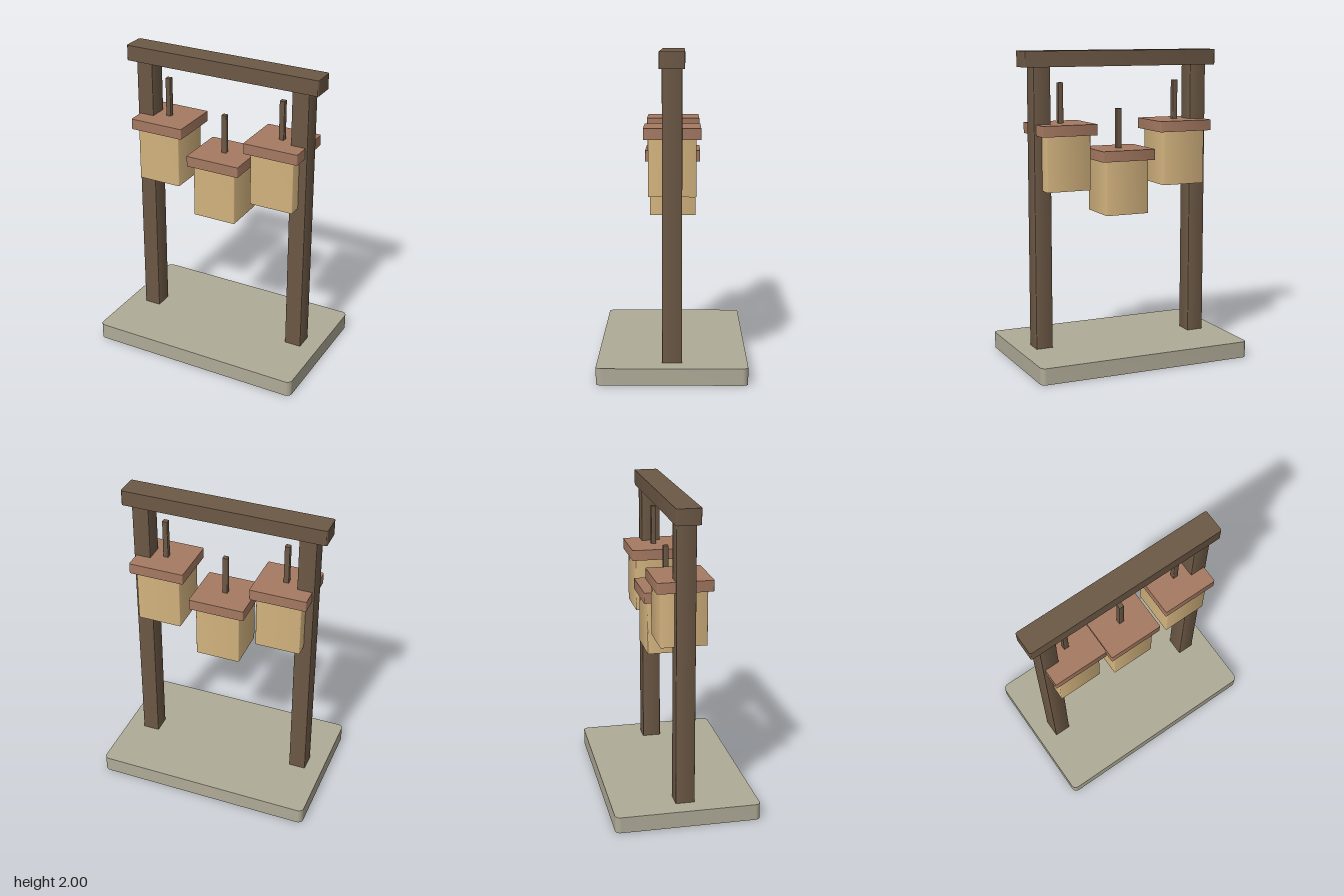
import * as THREE from 'three';
import { toCreasedNormals } from 'three/addons/utils/BufferGeometryUtils.js';

const material = (color) => new THREE.MeshStandardMaterial({ color });

// Upright block with rounded vertical edges, standing on its own y = 0
function slab(width, height, depth, radius) {
  const x = width / 2, y = depth / 2, r = radius;
  const shape = new THREE.Shape();
  shape.absarc(x - r, y - r, r, 0, Math.PI / 2);
  shape.absarc(-x + r, y - r, r, Math.PI / 2, Math.PI);
  shape.absarc(-x + r, -y + r, r, Math.PI, Math.PI * 1.5);
  shape.absarc(x - r, -y + r, r, Math.PI * 1.5, Math.PI * 2);
  shape.closePath();
  const geometry = new THREE.ExtrudeGeometry(shape, { depth: height, bevelEnabled: false, curveSegments: 6 });
  geometry.rotateX(-Math.PI / 2);
  return toCreasedNormals(geometry, Math.PI / 5);
}

export function createModel() {
  const model = new THREE.Group();
  model.name = 'hangingLanternStand';
  const wood = material(0x6d5946);
  const stone = material(0xb0ab98);
  const paper = material(0xd4b47f);
  const clay = material(0xa67a62);

  const add = (parent, name, geometry, mat, x, y, z = 0) => {
    const mesh = new THREE.Mesh(geometry, mat);
    mesh.name = name;
    mesh.position.set(x, y, z);
    parent.add(mesh);
  };

  // Stand: base plate, two posts and the crossbeam
  add(model, 'base', slab(1.436, 0.105, 0.926, 0.035), stone, 0, 0);
  for (const side of [-1, 1]) {
    add(model, side > 0 ? 'leftPost' : 'rightPost', slab(0.11, 1.8, 0.122, 0.003), wood, side * 0.546, 0.102);
  }
  add(model, 'crossbeam', slab(1.332, 0.1, 0.155, 0.012), wood, 0, 1.9);

  // Lanterns: body, overhanging cap and hanging rod; the middle one hangs lower
  const bodyGeometry = slab(0.293, 0.35, 0.293, 0.006);
  const capGeometry = slab(0.367, 0.069, 0.349, 0.008);
  const rodGeometry = slab(0.033, 0.257, 0.033, 0.002);
  const lanterns = [['rightLantern', -0.404, 1.127], ['middleLantern', 0, 0.952], ['leftLantern', 0.404, 1.127]];
  for (const [name, x, y] of lanterns) {
    const lantern = new THREE.Group();
    lantern.name = name;
    lantern.position.set(x, y, 0);
    add(lantern, 'lanternBody', bodyGeometry, paper, 0, 0);
    add(lantern, 'lanternCap', capGeometry, clay, 0, 0.349);
    add(lantern, 'hangingRod', rodGeometry, wood, 0, 0.417);
    model.add(lantern);
  }
  return model;
}
